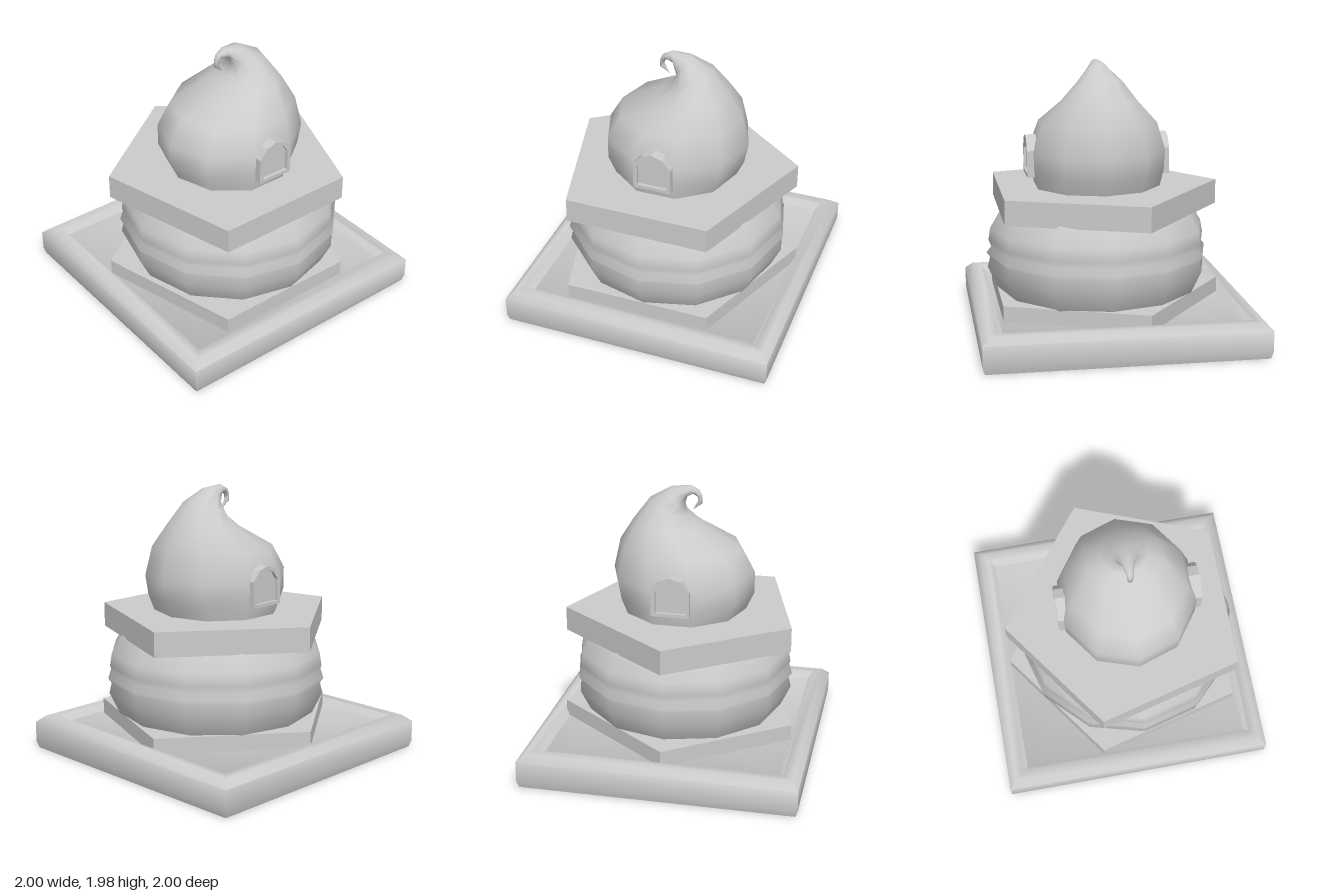
import * as THREE from 'three';
import { toCreasedNormals } from 'three/addons/utils/BufferGeometryUtils.js';

const material = new THREE.MeshStandardMaterial({ color: 0xcccccc, side: THREE.DoubleSide });
const vec2 = (points) => points.map(([x, y]) => new THREE.Vector2(x, y));

function addMesh(parent, name, geometry) {
  const mesh = new THREE.Mesh(geometry, material);
  mesh.name = name;
  parent.add(mesh);
  return mesh;
}

// Square tray: a four-sided lathe whose radii are half widths
function trayGeometry() {
  const profile = [[0, 0], [0.985, 0], [1, 0.05], [1, 0.2], [0.945, 0.25], [0.88, 0.25], [0.845, 0.2], [0, 0.2]];
  const geometry = new THREE.LatheGeometry(vec2(profile.map(([r, y]) => [r * Math.SQRT2, y])), 4);
  geometry.rotateY(Math.PI / 4);
  return toCreasedNormals(geometry, Math.PI / 3);
}

// Slightly uneven five-sided slab, corners given as x and z
const corners = [[-0.01, -0.845], [0.87, -0.17], [0.49, 0.815], [-0.575, 0.815], [-0.85, -0.245]];
function slabGeometry(bottom, top, scale) {
  const shape = new THREE.Shape(vec2(corners.map(([x, z]) => [x * scale, z * scale])));
  const geometry = new THREE.ExtrudeGeometry(shape, { depth: top - bottom, bevelEnabled: false });
  geometry.rotateX(Math.PI / 2);
  geometry.translate(0, top, 0);
  return geometry;
}

// Smooth loft through elliptical rings: [left x, left y, right x, right y, half depth]
function roofGeometry(rings, sides, z0) {
  const positions = [], indices = [];
  rings.forEach(([lx, ly, rx, ry, hz], i) => {
    for (let j = 0; j < sides; j++) {
      const t = (j / sides) * Math.PI * 2, c = Math.cos(t) / 2;
      positions.push((lx + rx) / 2 + (rx - lx) * c, (ly + ry) / 2 + (ry - ly) * c, z0 + hz * Math.sin(t));
      if (i === rings.length - 1) continue;
      const a = i * sides + j, b = i * sides + ((j + 1) % sides);
      indices.push(a, a + sides, b, b, a + sides, b + sides);
    }
  });
  const geometry = new THREE.BufferGeometry();
  geometry.setAttribute('position', new THREE.Float32BufferAttribute(positions, 3));
  geometry.setIndex(indices);
  geometry.computeVertexNormals();
  return geometry;
}

// Arched window facing +z, with its front at z = 0
function createWindow(name) {
  const outer = [[-0.137, 1.16], [0.137, 1.16], [0.137, 1.35], [0.08, 1.425], [0, 1.45], [-0.08, 1.425], [-0.137, 1.35]];
  const inner = [[-0.108, 1.185], [0.108, 1.185], [0.108, 1.34], [0.065, 1.4], [0, 1.423], [-0.065, 1.4], [-0.108, 1.34]];
  const group = new THREE.Group();
  group.name = name;
  const frame = new THREE.Shape(vec2(outer));
  frame.holes.push(new THREE.Path(vec2(inner)));
  const frameGeometry = new THREE.ExtrudeGeometry(frame, { depth: 0.17, bevelEnabled: false });
  addMesh(group, 'windowFrame', frameGeometry.translate(0, 0, -0.17));
  const pane = new THREE.ExtrudeGeometry(new THREE.Shape(vec2(inner)), { depth: 0.14, bevelEnabled: false });
  addMesh(group, 'windowPane', pane.translate(0, 0, -0.165));
  return group;
}

export function createModel() {
  const model = new THREE.Group();
  model.name = 'house';

  addMesh(model, 'baseTray', trayGeometry());
  addMesh(model, 'lowerSlab', slabGeometry(0.19, 0.315, 1));
  addMesh(model, 'upperSlab', slabGeometry(0.89, 1.07, 0.975));

  // Bulging twelve-sided wall with pinched bands
  const wallProfile = [[0.7, 0.28], [0.735, 0.32], [0.808, 0.475], [0.79, 0.55], [0.815, 0.585],
    [0.78, 0.63], [0.8, 0.68], [0.785, 0.77], [0.715, 0.89], [0.69, 0.93]];
  addMesh(model, 'wall', new THREE.LatheGeometry(vec2(wallProfile), 12)).position.set(0.01, 0, 0.078);

  // Bulbous roof curling over into a small hook
  const rings = [
    [-0.435, 1.04, 0.445, 1.04, 0.46],
    [-0.51, 1.2, 0.51, 1.18, 0.495],
    [-0.51, 1.36, 0.54, 1.33, 0.5],
    [-0.41, 1.53, 0.49, 1.55, 0.435],
    [-0.11, 1.69, 0.39, 1.71, 0.28],
    [-0.02, 1.76, 0.26, 1.88, 0.175],
    [0.01, 1.81, 0.1, 1.97, 0.09],
    [0, 1.89, -0.04, 1.98, 0.045],
    [-0.05, 1.92, -0.1, 1.945, 0.03],
    [-0.085, 1.9, -0.12, 1.9, 0.022],
    [-0.09, 1.87, -0.12, 1.85, 0.02],
    [-0.05, 1.8, -0.05, 1.8, 0],
  ];
  addMesh(model, 'roof', roofGeometry(rings, 10, 0.078));

  // Windows at front and back
  const front = createWindow('frontWindow');
  front.position.set(0.008, 0, 0.6);
  const back = createWindow('backWindow');
  back.position.set(0.008, 0, -0.435);
  back.rotation.y = Math.PI;
  model.add(front, back);

  return model;
}
